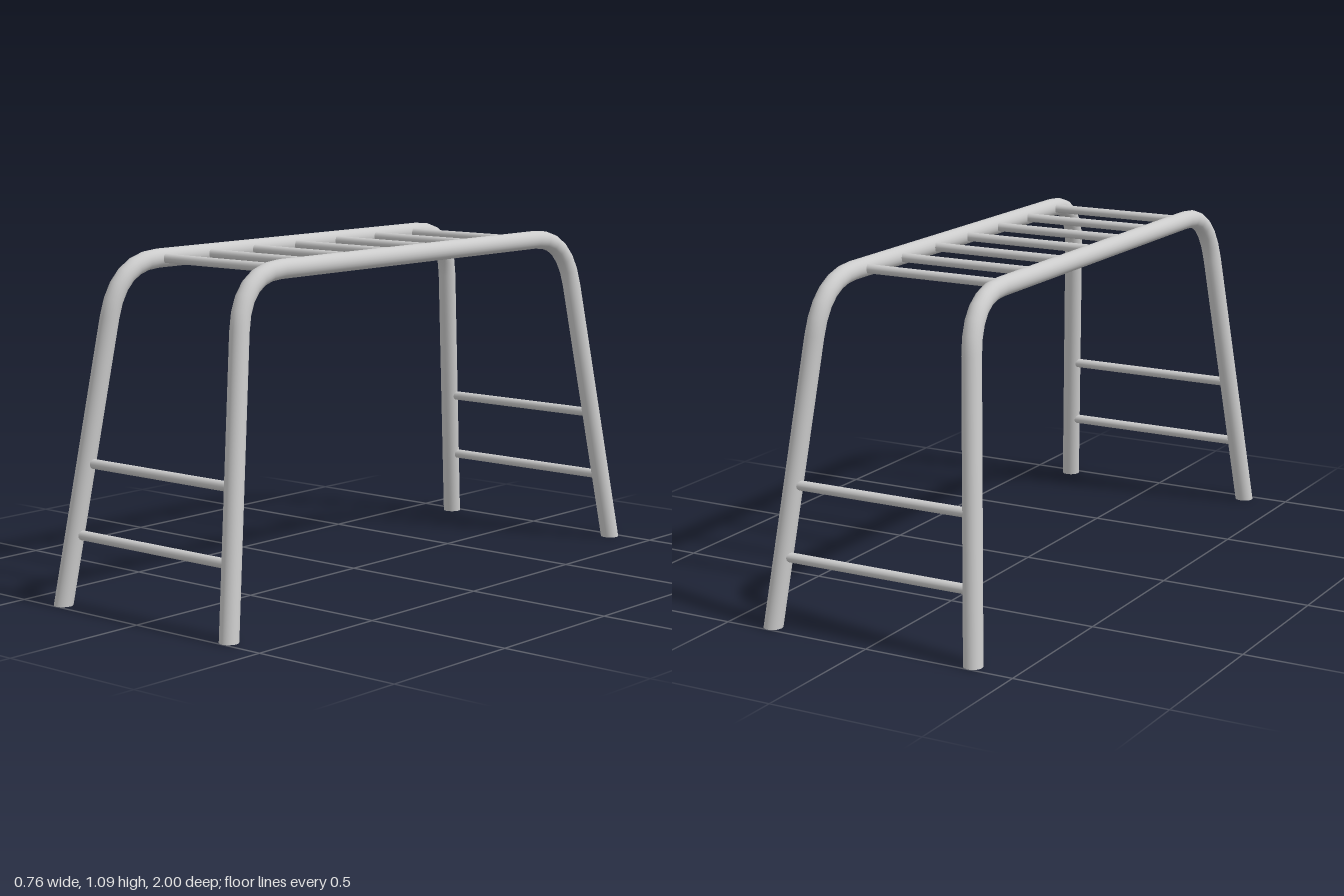
import * as THREE from 'three';

const RAIL_R = 0.03, TOP_Y = 1.058, TOP_X = 0.257, FOOT_X = 0.352, FOOT_Z = 0.97, CORNER_Z = 0.805;
const material = new THREE.MeshStandardMaterial({ color: 0xcccccc });

// Leg centre line at height y, on the +x, +z side
function legAt(y) {
  const t = y / TOP_Y;
  return new THREE.Vector3(
    THREE.MathUtils.lerp(FOOT_X, TOP_X, t), y, THREE.MathUtils.lerp(FOOT_Z, CORNER_Z, t));
}

// Curve that steps exactly through its stations, so straights stay one segment long
class StationCurve extends THREE.Curve {
  constructor(points, tangents) {
    super();
    this.points = points;
    this.tangents = tangents;
  }
  index(t) { return Math.round(t * (this.points.length - 1)); }
  getPoint(t, target = new THREE.Vector3()) { return target.copy(this.points[this.index(t)]); }
  getPointAt(t, target) { return this.getPoint(t, target); }
  getTangentAt(t, target = new THREE.Vector3()) { return target.copy(this.tangents[this.index(t)]); }
}

// One bent pipe: front leg, bend, overhead bar, bend, back leg
function makeRail(side) {
  const bend = new THREE.QuadraticBezierCurve3(
    legAt(0.89), legAt(TOP_Y), new THREE.Vector3(TOP_X, TOP_Y, 0.636));
  const points = [legAt(0)], tangents = [bend.getTangent(0)];
  for (let i = 0; i <= 6; i++) {
    points.push(bend.getPoint(i / 6));
    tangents.push(bend.getTangent(i / 6));
  }
  const count = points.length;
  for (let i = count - 1; i >= 0; i--) {
    const p = points[i], d = tangents[i];
    points.push(new THREE.Vector3(p.x, p.y, -p.z));
    tangents.push(new THREE.Vector3(-d.x, -d.y, d.z));
  }
  for (const v of [...points, ...tangents]) v.x *= side;

  const segments = points.length - 1, sides = 24;
  const geometry = new THREE.TubeGeometry(new StationCurve(points, tangents), segments, RAIL_R, sides);

  // Cut both feet level with the ground by sliding the end rings along the pipe
  const pos = geometry.attributes.position;
  for (const ring of [0, segments]) {
    const d = tangents[ring];
    for (let j = 0; j <= sides; j++) {
      const k = ring * (sides + 1) + j, s = pos.getY(k) / d.y;
      pos.setXYZ(k, pos.getX(k) - d.x * s, 0, pos.getZ(k) - d.z * s);
    }
  }

  const rail = new THREE.Group();
  rail.name = side > 0 ? 'leftRail' : 'rightRail';
  const pipe = new THREE.Mesh(geometry, material);
  pipe.name = 'bentPipe';
  rail.add(pipe);
  for (const end of [1, -1]) {
    const cap = new THREE.Mesh(new THREE.CircleGeometry(RAIL_R, sides).rotateX(Math.PI / 2), material);
    cap.name = 'footCap';
    cap.position.set(side * FOOT_X, 0, end * FOOT_Z);
    rail.add(cap);
  }
  return rail;
}

// Crossbar whose ends sink slightly into both rails
function makeRung(name, railX, y, z, radius) {
  const geometry = new THREE.CylinderGeometry(radius, radius, 2 * (railX - 0.02), 16).rotateZ(Math.PI / 2);
  const rung = new THREE.Mesh(geometry, material);
  rung.name = name;
  rung.position.set(0, y, z);
  return rung;
}

export function createModel() {
  const model = new THREE.Group();
  model.name = 'monkeyBars';
  model.add(makeRail(1), makeRail(-1));

  // Overhead rungs
  for (let i = 0; i < 7; i++) {
    model.add(makeRung('overheadRung', TOP_X, TOP_Y, -0.592 + i * 0.2028, 0.0145));
  }

  // Climbing rungs between the legs at each end
  for (const y of [0.221, 0.442]) {
    const p = legAt(y);
    model.add(makeRung('frontClimbingRung', p.x, y, p.z - 0.004, 0.0155));
    model.add(makeRung('backClimbingRung', p.x, y, -p.z - 0.004, 0.0155));
  }
  return model;
}
